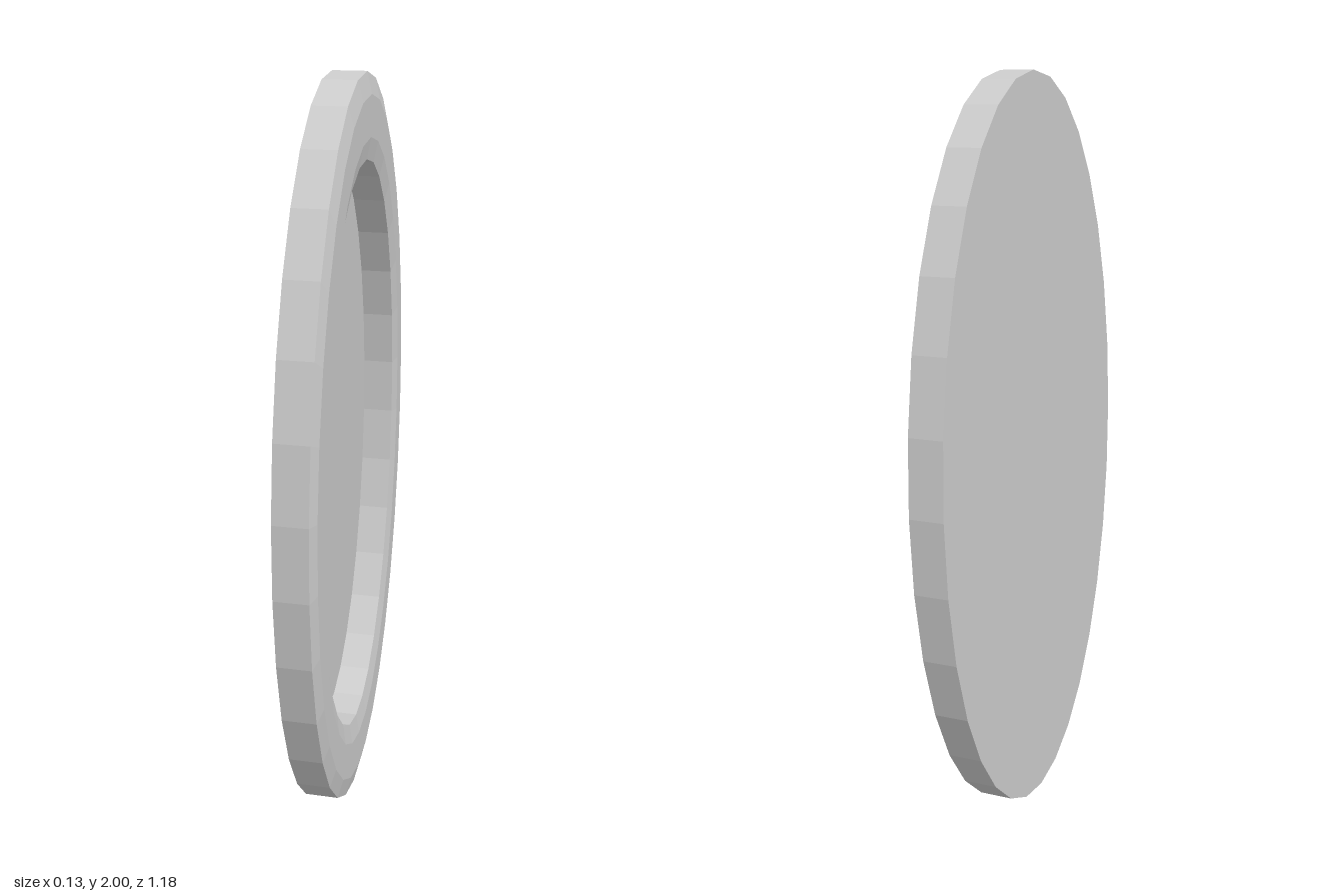
import * as THREE from 'three';

const SEGMENTS = 32;
const BACK = -0.055, FLOOR = -0.047, RIM = 0.035, RIDGE = 0.048;
const INNER = 0.785;

export function createModel() {
  const material = new THREE.MeshStandardMaterial({ color: 0xcccccc, flatShading: true });

  // Turns a (radius, depth) profile into an oval ring whose axis is +x
  function ovalPart(name, profile) {
    const points = profile.map(([r, d]) => new THREE.Vector2(r, d));
    const geometry = new THREE.LatheGeometry(points, SEGMENTS);
    geometry.rotateZ(-Math.PI / 2);
    geometry.scale(1, 1, 0.588);
    const mesh = new THREE.Mesh(geometry, material);
    mesh.name = name;
    return mesh;
  }

  // Frame: flat back, straight side, bevelled raised front, wall down to the panel
  const frame = ovalPart('frame', [
    [INNER, BACK], [1, BACK], [1, RIM],
    [0.945, RIDGE], [0.84, RIDGE], [INNER, RIM + 0.003], [INNER, FLOOR],
  ]);

  // Thin recessed panel closing the back
  const panel = ovalPart('panel', [
    [0, BACK], [INNER, BACK], [INNER, FLOOR], [0, FLOOR],
  ]);

  // The whole oval leans slightly
  const mirror = new THREE.Group();
  mirror.name = 'ovalMirror';
  mirror.add(frame, panel);
  mirror.rotation.set(0, -0.008, -0.0155);
  mirror.position.y = 1;

  const model = new THREE.Group();
  model.name = 'model';
  model.add(mirror);
  return model;
}
